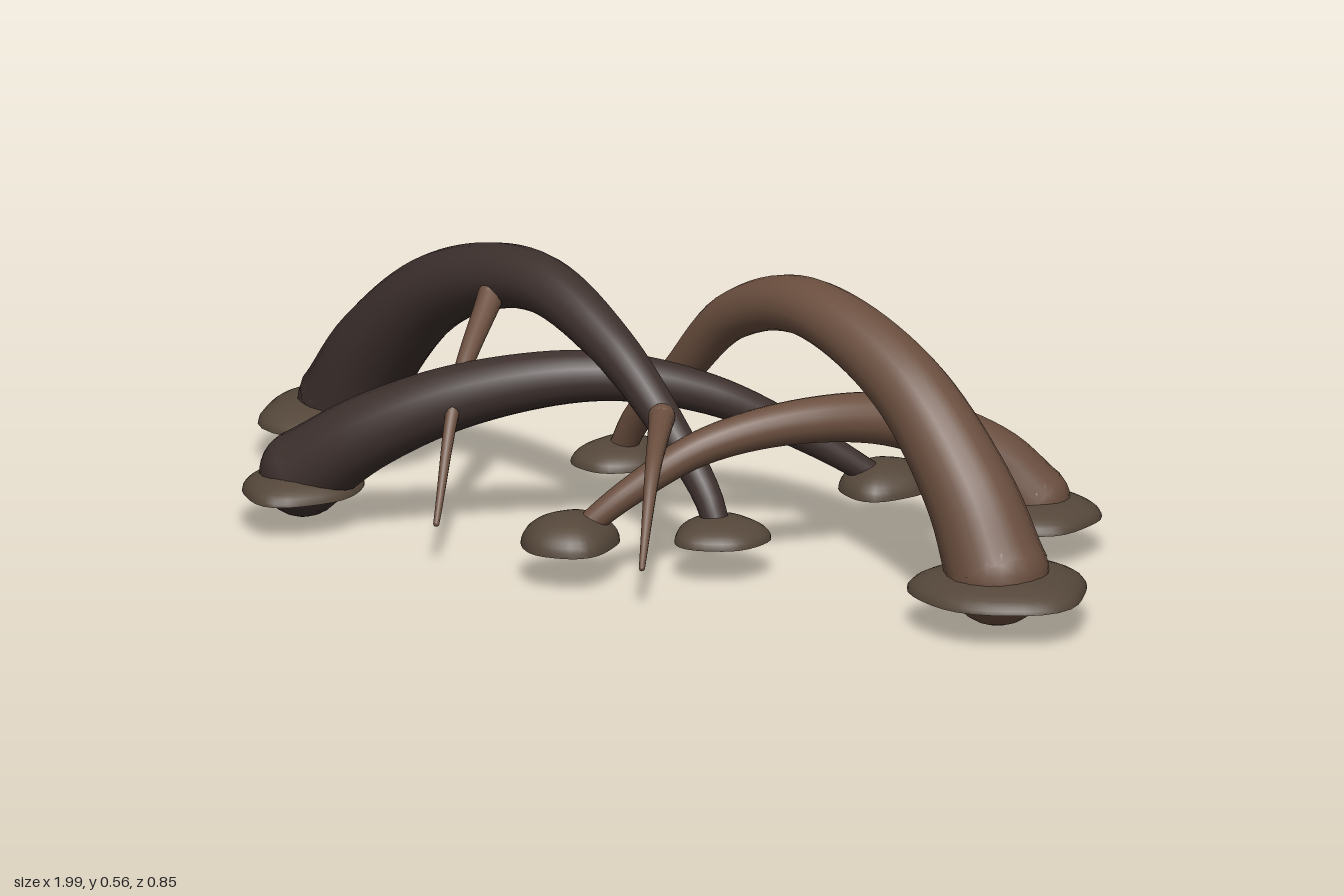
import * as THREE from 'three';

const material = (color, side = THREE.FrontSide) =>
  new THREE.MeshStandardMaterial({ color, side, roughness: 0.9 });
const lightBark = material(0x6b4f3f);
const darkBark = material(0x3e312e);
const soil = material(0x55473a, THREE.DoubleSide);

function add(parent, name, geometry, mat) {
  const mesh = new THREE.Mesh(geometry, mat);
  mesh.name = name;
  parent.add(mesh);
  return mesh;
}

// Tube along the points whose radius shrinks from r0 to r1, with rounded ends
function taperedRoot(parent, name, points, r0, r1, mat, sides = 20) {
  const group = new THREE.Group();
  group.name = name;
  parent.add(group);
  const curve = new THREE.CatmullRomCurve3(points.map((p) => new THREE.Vector3(...p)));
  const steps = 48;
  const geometry = new THREE.TubeGeometry(curve, steps, 1, sides);
  const pos = geometry.attributes.position;
  const v = new THREE.Vector3();
  for (let i = 0; i <= steps; i++) {
    const u = i / steps;
    const centre = curve.getPointAt(u);
    const r = r0 + (r1 - r0) * Math.pow(u, 0.8);
    for (let j = 0; j <= sides; j++) {
      const k = i * (sides + 1) + j;
      v.fromBufferAttribute(pos, k).sub(centre).multiplyScalar(r).add(centre);
      pos.setXYZ(k, v.x, v.y, v.z);
    }
  }
  add(group, name + 'Stem', geometry, mat);
  [[0, r0], [1, r1]].forEach(([u, r]) => {
    const cap = add(group, name + 'Cap', new THREE.SphereGeometry(r * 0.99, 20, 14), mat);
    cap.position.copy(curve.getPointAt(u));
  });
}

// Shallow open dome with a wavy rim
function soilMound(parent, name, x, z, rx, rz, height, phase) {
  const geometry = new THREE.SphereGeometry(1, 32, 10, 0, Math.PI * 2, 0, Math.PI / 2);
  const pos = geometry.attributes.position;
  for (let i = 0; i < pos.count; i++) {
    const px = pos.getX(i), pz = pos.getZ(i);
    const a = Math.atan2(pz, px);
    const wave = 0.98 + 0.04 * Math.sin(3 * a + phase) + 0.025 * Math.sin(5 * a + phase * 2);
    pos.setXYZ(i, px * rx * wave, pos.getY(i) * height, pz * rz * wave);
  }
  geometry.computeVertexNormals();
  add(parent, name, geometry, soil).position.set(x, 0.075, z);
}

export function createModel() {
  const model = new THREE.Group();
  model.name = 'archedRoots';

  // Four arching roots, thick end first
  taperedRoot(model, 'tallLeftRoot', [
    [0.82, 0.11, 0.165], [0.74, 0.25, 0.135], [0.56, 0.425, 0.075], [0.29, 0.51, -0.015],
    [0.08, 0.44, -0.09], [-0.07, 0.29, -0.145], [-0.19, 0.17, -0.19], [-0.24, 0.09, -0.21],
  ], 0.1, 0.025, lightBark);
  taperedRoot(model, 'tallRightRoot', [
    [-0.82, 0.105, -0.18], [-0.74, 0.235, -0.155], [-0.56, 0.395, -0.1], [-0.31, 0.465, -0.02],
    [-0.1, 0.385, 0.05], [0.06, 0.25, 0.095], [0.15, 0.15, 0.12], [0.18, 0.09, 0.13],
  ], 0.102, 0.025, darkBark);
  taperedRoot(model, 'lowRightRoot', [
    [-0.66, 0.105, 0.26], [-0.53, 0.2, 0.235], [-0.35, 0.285, 0.165], [-0.13, 0.325, 0.05],
    [0.04, 0.28, -0.08], [0.19, 0.175, -0.215], [0.29, 0.09, -0.3],
  ], 0.085, 0.022, darkBark);
  taperedRoot(model, 'lowLeftRoot', [
    [0.62, 0.105, -0.3], [0.55, 0.185, -0.265], [0.43, 0.265, -0.16], [0.3, 0.29, 0.0],
    [0.16, 0.255, 0.15], [0.05, 0.17, 0.25], [-0.03, 0.09, 0.31],
  ], 0.072, 0.022, lightBark);

  // Thin side rootlets dropping to the ground
  const rootlets = [
    [[[-0.13, 0.29, -0.09], [-0.2, 0.235, -0.26], [-0.25, 0.085, -0.43]], lightBark],
    [[[0.39, 0.46, -0.05], [0.44, 0.31, -0.2], [0.48, 0.09, -0.38]], lightBark],
    [[[-0.4, 0.43, 0.0], [-0.36, 0.3, 0.19], [-0.305, 0.085, 0.36]], lightBark],
    [[[0.05, 0.29, 0.12], [0.12, 0.235, 0.27], [0.18, 0.085, 0.41]], lightBark],
  ];
  rootlets.forEach(([points, mat], i) =>
    taperedRoot(model, 'rootlet' + (i + 1), points, 0.026, 0.006, mat, 10));

  // Soil mounds where roots meet the ground: x, z, half widths, height
  [
    [0.825, 0.16, 0.175, 0.17, 0.05],
    [-0.825, -0.18, 0.175, 0.17, 0.05],
    [-0.66, 0.265, 0.112, 0.135, 0.045],
    [0.625, -0.29, 0.135, 0.127, 0.045],
    [-0.24, -0.21, 0.085, 0.105, 0.042],
    [0.19, 0.135, 0.092, 0.097, 0.042],
    [0.285, -0.31, 0.087, 0.1, 0.055],
    [-0.035, 0.315, 0.092, 0.105, 0.062],
  ].forEach((m, i) => soilMound(model, 'soilMound' + (i + 1), ...m, i * 1.7));

  return model;
}
